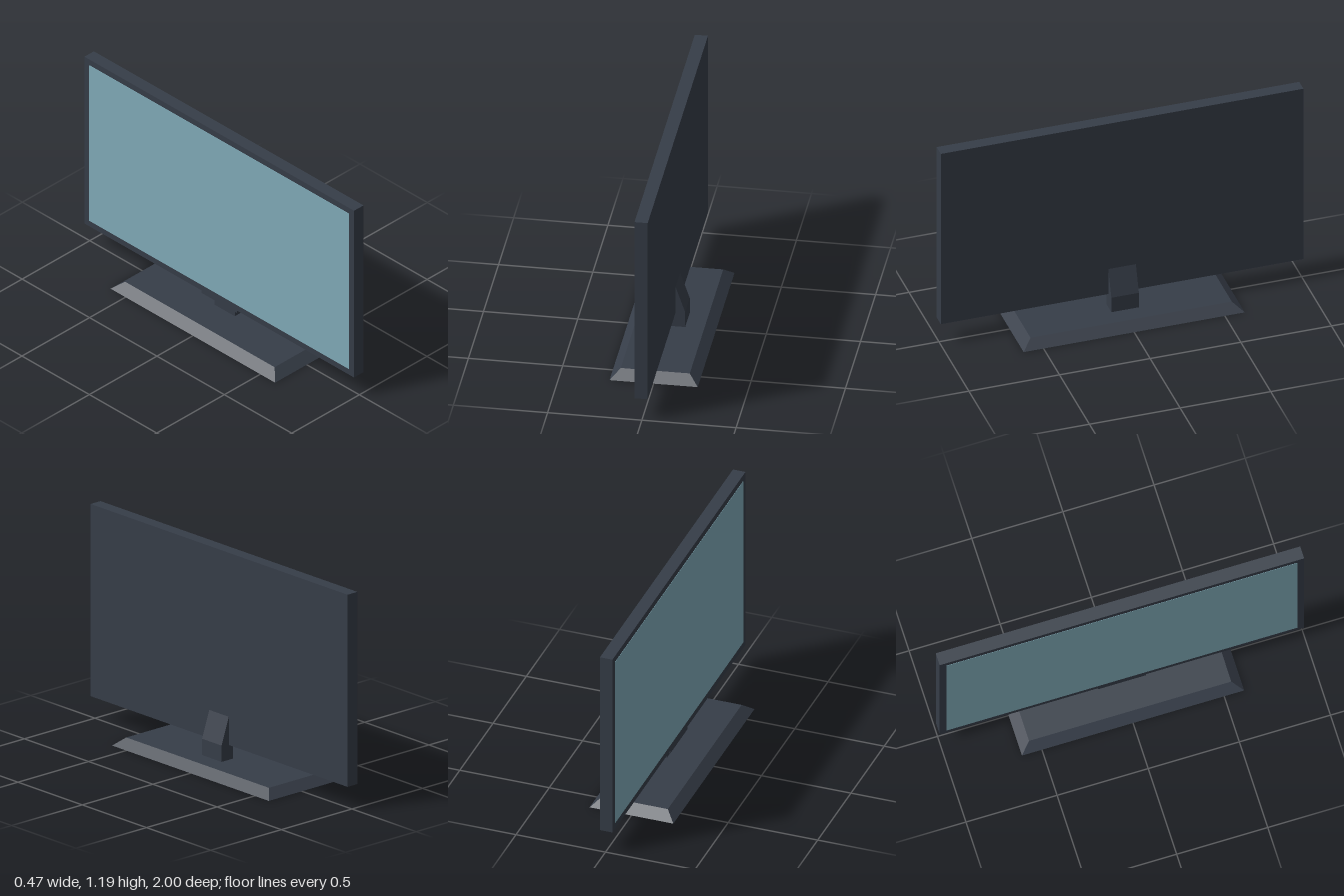
import * as THREE from 'three';

const bodyMat = new THREE.MeshStandardMaterial({ color: 0x363d48, flatShading: true });
const screenMat = new THREE.MeshStandardMaterial({ color: 0x80abb8, flatShading: true });

// Box given by its min and max corners
function box(name, [x0, y0, z0], [x1, y1, z1], material = bodyMat) {
  const geometry = new THREE.BoxGeometry(x1 - x0, y1 - y0, z1 - z0);
  geometry.translate((x0 + x1) / 2, (y0 + y1) / 2, (z0 + z1) / 2);
  const mesh = new THREE.Mesh(geometry, material);
  mesh.name = name;
  return mesh;
}

// Foot plate: a box whose top corners are pulled in to bevel all four sides
function makeBase() {
  const base = box('base', [-0.234, 0, -0.61], [0.234, 0.047, 0.61]);
  const p = base.geometry.attributes.position;
  for (let i = 0; i < p.count; i++) {
    if (p.getY(i) > 0.02) {
      p.setX(i, Math.sign(p.getX(i)) * 0.183);
      p.setZ(i, Math.sign(p.getZ(i)) * 0.555);
    }
  }
  base.geometry.computeVertexNormals();
  return base;
}

// Neck: side profile in x and y, extruded along z, with its top inside the panel
function makeNeck() {
  const profile = new THREE.Shape([
    [0, 0.04], [0.082, 0.04], [0.082, 0.137], [0.031, 0.285], [0.02, 0.285], [0, 0.2],
  ].map(([x, y]) => new THREE.Vector2(x, y)));
  const geometry = new THREE.ExtrudeGeometry(profile, { depth: 0.152, bevelEnabled: false });
  geometry.translate(0, 0, -0.076);
  const neck = new THREE.Mesh(geometry, bodyMat);
  neck.name = 'neck';
  return neck;
}

export function createModel() {
  const model = new THREE.Group();
  model.name = 'television';
  model.add(
    makeBase(),
    makeNeck(),
    box('panel', [-0.039, 0.129, -1], [0.031, 1.192, 1]),
    // Display, set in a thin even bezel on the -x side
    box('screen', [-0.0405, 0.165, -0.963], [-0.035, 1.156, 0.963], screenMat),
    // Small lip hanging under the bezel
    box('sensorLip', [-0.039, 0.113, -0.131], [-0.017, 0.129, 0.131]),
  );
  return model;
}
